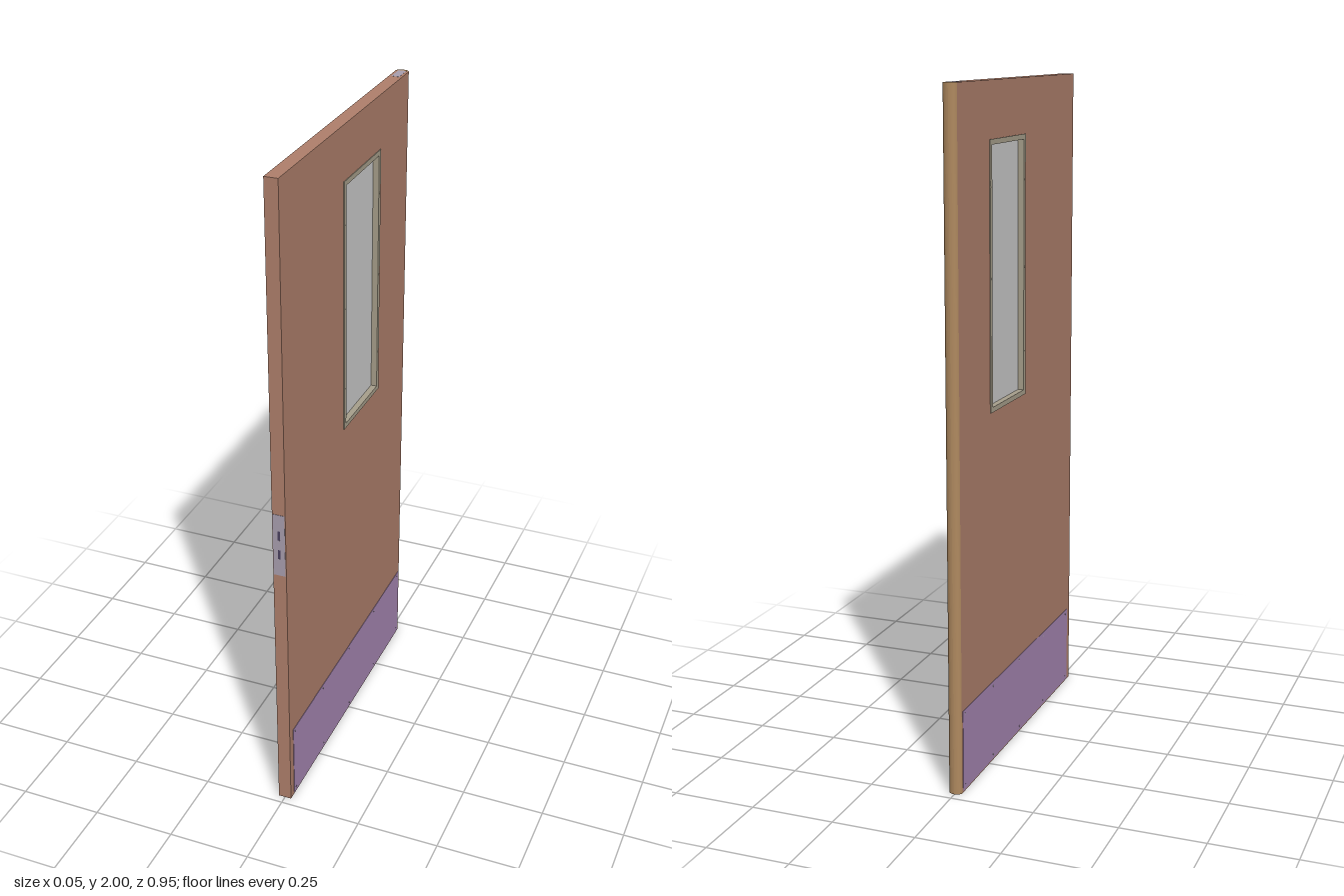
import * as THREE from 'three';

const H = 2, T = 0.02;            // door height, half thickness
const Z_FRONT = 0.475, Z_EDGE = -0.462;
const WIN = { z0: -0.222, z1: 0.032, y0: 1.083, y1: 1.827 };

const mat = (color) => new THREE.MeshStandardMaterial({ color });
const skin = mat(0xb0806c), edge = mat(0xb08a60), purple = mat(0xa686b2);
const glassMat = mat(0xc6cac8), trim = mat(0xa8a08c), metal = mat(0xaaa0b0), dark = mat(0x4a4060);

function add(parent, name, geometry, material, x = 0, y = 0, z = 0) {
  const mesh = new THREE.Mesh(geometry, material);
  mesh.name = name;
  mesh.position.set(x, y, z);
  parent.add(mesh);
  return mesh;
}

// Closed rectangle as corner points
const rect = (a0, b0, a1, b1) => [[a0, b0], [a1, b0], [a1, b1], [a0, b1]].map(([a, b]) => new THREE.Vector2(a, b));

// Panel drawn in (z, y), optionally with an opening, extruded symmetrically along x
function panel(outer, hole, halfThickness) {
  const shape = new THREE.Shape(outer);
  if (hole) shape.holes.push(new THREE.Path(hole));
  return new THREE.ExtrudeGeometry(shape, { depth: halfThickness * 2, bevelEnabled: false })
    .translate(0, 0, -halfThickness)
    .rotateY(-Math.PI / 2);
}

export function createModel() {
  const door = new THREE.Group();
  door.name = 'door';

  // Slab with window opening
  const opening = rect(WIN.z0, WIN.y0, WIN.z1, WIN.y1);
  add(door, 'doorSlab', panel(rect(Z_EDGE, 0, Z_FRONT, H), opening, T), skin);

  // Rounded pivot-side edge
  const nose = new THREE.Shape();
  nose.moveTo(T, -Z_EDGE);
  nose.quadraticCurveTo(T * 0.8, 0.474, 0, 0.475);
  nose.quadraticCurveTo(-T * 0.8, 0.474, -T, -Z_EDGE);
  nose.closePath();
  add(door, 'roundedEdge', new THREE.ExtrudeGeometry(nose, { depth: H, bevelEnabled: false, curveSegments: 8 })
    .rotateX(-Math.PI / 2), edge);

  // Window: recessed pane and a thin glazing frame standing proud of each face
  const paneSize = [WIN.z1 - WIN.z0, WIN.y1 - WIN.y0];
  add(door, 'windowPane', new THREE.BoxGeometry(0.008, paneSize[1], paneSize[0]), glassMat,
    0, (WIN.y0 + WIN.y1) / 2, (WIN.z0 + WIN.z1) / 2);
  const frameOuter = rect(-0.235, 1.07, 0.045, 1.84);
  add(door, 'windowFrame', panel(frameOuter, rect(WIN.z0 + 0.002, WIN.y0 + 0.002, WIN.z1 - 0.002, WIN.y1 - 0.002), 0.0222), trim);

  // Kick plates and small screw heads on both faces
  const screw = new THREE.CylinderGeometry(0.003, 0.003, 0.001, 10).rotateZ(Math.PI / 2);
  for (const side of [-1, 1]) {
    const face = new THREE.Group();
    face.name = side > 0 ? 'leftFaceHardware' : 'rightFaceHardware';
    door.add(face);
    add(face, 'kickPlate', new THREE.BoxGeometry(0.0014, 0.245, 0.905), purple, side * (T + 0.0007), 0.1275, -0.0025);
    for (let i = 0; i < 5; i++) {
      const z = -0.44 + i * 0.21875;
      for (const y of [0.018, 0.237]) add(face, 'kickPlateScrew', screw, metal, side * (T + 0.0016), y, z);
    }
    for (const z of [-0.229, 0.039])
      for (const y of [1.2, 1.455, 1.71]) add(face, 'frameScrew', screw, trim, side * 0.0225, y, z);
  }

  // Lock plate on the front edge, with two slots
  const plate = new THREE.Shape(rect(-0.018, 0.82, 0.018, 1.02));
  for (const y of [0.89, 0.952]) {
    plate.holes.push(new THREE.Path(rect(-0.004, y - 0.015, 0.004, y + 0.015)));
    add(door, 'lockSlot', new THREE.BoxGeometry(0.008, 0.03, 0.0004), dark, 0, y, Z_FRONT + 0.0002);
  }
  add(door, 'lockPlate', new THREE.ExtrudeGeometry(plate, { depth: 0.001, bevelEnabled: false }), metal, 0, 0, Z_FRONT);

  // Pivot plates let into the top and bottom at the back
  for (const [name, y] of [['topPivotPlate', H], ['bottomPivotPlate', 0]])
    add(door, name, new THREE.BoxGeometry(0.024, 0.001, 0.06), metal, 0, y, -0.433);

  return door;
}
